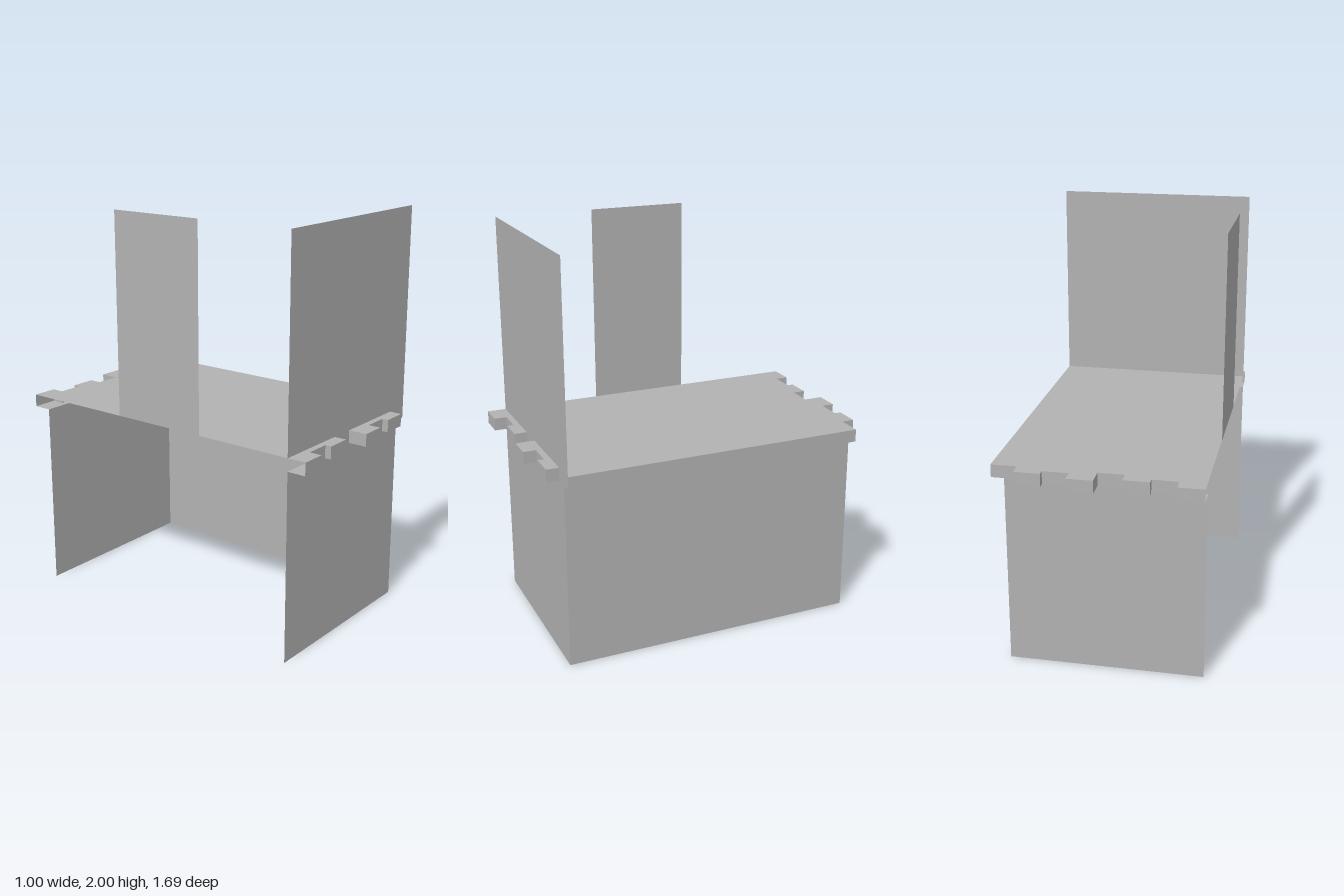
import * as THREE from 'three';

const grey = new THREE.MeshStandardMaterial({ color: 0xb2b2b2, side: THREE.DoubleSide });
grey.name = 'plain grey';

const TOP = 1, UNDER = 0.9375, HALF_X = 0.5, HALF_Z = 0.75, SIDE_X = 0.4375;
// How far each eighth of the end edge sticks out, from -x to +x
const STEPS = [0.09375, 0.03125, 0.0625, 0, 0.09375, 0.03125, 0.0625, 0];
const STEP_W = 2 * HALF_X / STEPS.length;

// Flat rectangle from one corner and two edge vectors; it faces u cross v
function quad(name, corner, u, v) {
  const [a, eu, ev] = [corner, u, v].map((p) => new THREE.Vector3(...p));
  const b = a.clone().add(eu), c = b.clone().add(ev), d = a.clone().add(ev);
  const geometry = new THREE.BufferGeometry().setFromPoints([a, b, c, d]);
  geometry.setIndex([0, 1, 2, 0, 2, 3]);
  geometry.computeVertexNormals();
  const mesh = new THREE.Mesh(geometry, grey);
  mesh.name = name;
  return mesh;
}

// Stepped outline as [x, z], front end first, then the back end mirrored
function outline() {
  const front = [];
  STEPS.forEach((s, i) => {
    const x = -HALF_X + i * STEP_W;
    front.push([x, HALF_Z + s], [x + STEP_W, HALF_Z + s]);
  });
  const back = front.map(([x, z]) => [x, -z]).reverse();
  return [...front, ...back];
}

function createTabletop() {
  const group = new THREE.Group();
  group.name = 'tabletop';
  const points = outline();

  // Upper surface
  const shape = new THREE.Shape(points.map(([x, z]) => new THREE.Vector2(x, -z)));
  const surface = new THREE.Mesh(new THREE.ShapeGeometry(shape), grey);
  surface.geometry.rotateX(-Math.PI / 2);
  surface.position.y = TOP;
  surface.name = 'tabletopSurface';
  group.add(surface);

  // Rim follows the outline and stays open along the -x edge
  for (let i = 0; i < points.length - 1; i++) {
    const [x, z] = points[i], [x2, z2] = points[i + 1];
    if (x === x2 && z === z2) continue;
    group.add(quad('rim', [x, UNDER, z], [x2 - x, 0, z2 - z], [0, TOP - UNDER, 0]));
  }

  // Undersides of the teeth and of the overhanging side lip
  STEPS.forEach((s, i) => {
    if (!s) return;
    const x = -HALF_X + i * STEP_W;
    for (const z of [HALF_Z, -HALF_Z - s]) {
      group.add(quad('toothUnderside', [x, UNDER, z], [STEP_W, 0, 0], [0, 0, s]));
    }
  });
  group.add(quad('lipUnderside', [SIDE_X, UNDER, -HALF_Z],
    [HALF_X - SIDE_X, 0, 0], [0, 0, 2 * HALF_Z]));
  return group;
}

export function createModel() {
  const model = new THREE.Group();
  model.name = 'table';
  model.add(createTabletop());

  // Lower panels around three sides
  const width = SIDE_X + HALF_X;
  model.add(
    quad('frontPanel', [-HALF_X, 0, HALF_Z], [width, 0, 0], [0, UNDER, 0]),
    quad('backPanel', [SIDE_X, 0, -HALF_Z], [-width, 0, 0], [0, UNDER, 0]),
    quad('sidePanel', [SIDE_X, 0, HALF_Z], [0, 0, -2 * HALF_Z], [0, UNDER, 0]),
  );

  // Upright boards standing on the tabletop
  model.add(
    quad('tallFrontBoard', [-HALF_X, TOP, HALF_Z], [2 * HALF_X, 0, 0], [0, 1, 0]),
    quad('narrowSideBoard', [-HALF_X, TOP, 0.25], [0, 0, -0.5], [0, 1, 0]),
  );
  return model;
}
